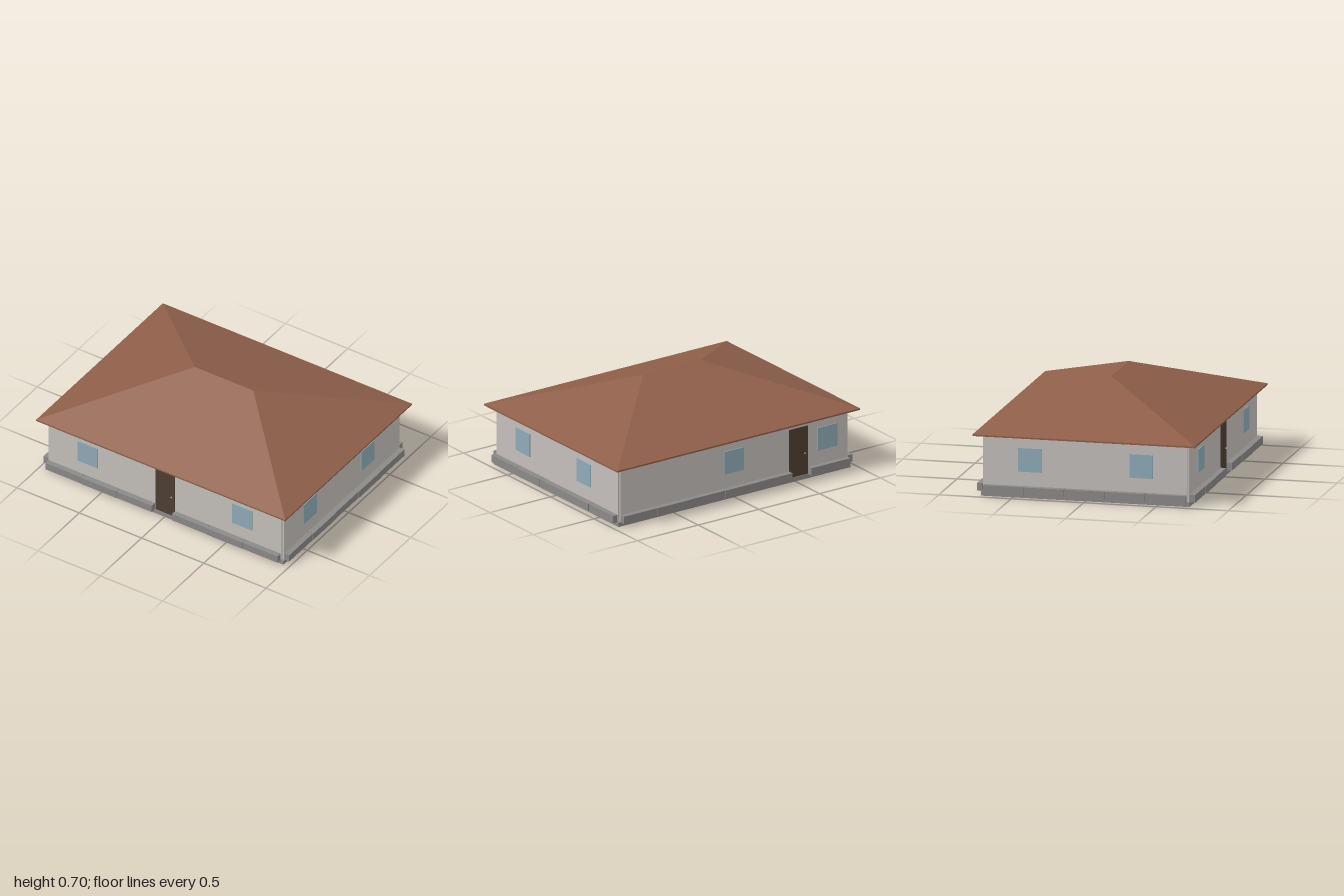
import * as THREE from 'three';

const mat = (name, color, extra = {}) => new THREE.MeshStandardMaterial({ name, color, ...extra });

export function createModel() {
  const house = new THREE.Group();
  house.name = 'house';
  const roofMat = mat('roofBrown', 0x8f5f4a, { flatShading: true });
  const wallMat = mat('wallGrey', 0xc4bfbb);
  const stoneMat = mat('stoneGrey', 0x8b8a88);
  const doorMat = mat('doorBrown', 0x4e3f33);
  const glassMat = mat('glassBlue', 0x8fabb8);
  const knobMat = mat('knobPale', 0xd0ccc4);

  // Box given by its lower and upper limits
  const box = (parent, name, material, [x0, y0, z0], [x1, y1, z1]) => {
    const mesh = new THREE.Mesh(new THREE.BoxGeometry(x1 - x0, y1 - y0, z1 - z0), material);
    mesh.position.set((x0 + x1) / 2, (y0 + y1) / 2, (z0 + z1) / 2);
    mesh.name = name;
    parent.add(mesh);
    return mesh;
  };

  // Floor slab and crossing wall bodies that leave notched corners
  box(house, 'foundation', stoneMat, [-0.955, 0, -0.72], [0.955, 0.03, 0.72]);
  box(house, 'longWalls', wallMat, [-0.935, 0.03, -0.712], [0.935, 0.416, 0.712]);
  box(house, 'endWalls', wallMat, [-0.945, 0.03, -0.7], [0.945, 0.416, 0.7]);

  // Each side is laid out facing +z, then turned into place
  const sides = [
    { name: 'front', turn: 0, dist: 0.712, windows: [-0.62, 0.62], door: 0,
      runs: [[-0.935, -0.08, 3], [0.08, 0.93, 3]] },
    { name: 'back', turn: Math.PI, dist: 0.712, windows: [0, 0.77], door: 0.53,
      runs: [[-0.935, 0.452, 5], [0.608, 0.93, 1]] },
    { name: 'leftEnd', turn: Math.PI / 2, dist: 0.945, windows: [-0.39, 0.31],
      runs: [[-0.7, 0.7, 5]] },
    { name: 'rightEnd', turn: -Math.PI / 2, dist: 0.945, windows: [-0.385, 0.385],
      runs: [[-0.7, 0.7, 5]] },
  ];
  for (const { name, turn, dist, windows, door, runs } of sides) {
    const side = new THREE.Group();
    side.name = name + 'Side';
    side.rotation.y = turn;
    house.add(side);

    for (const x of windows) {
      box(side, 'window', glassMat, [x - 0.08, 0.178, dist - 0.002], [x + 0.08, 0.34, dist + 0.006]);
    }
    if (door !== undefined) {
      box(side, 'door', doorMat, [door - 0.077, 0.03, dist - 0.005], [door + 0.077, 0.376, dist + 0.003]);
      box(side, 'doorKnob', knobMat, [door + 0.048, 0.18, dist], [door + 0.056, 0.188, dist + 0.009]);
    }
    // Row of kerb stones along the foot of the wall
    for (const [from, to, count] of runs) {
      const step = (to - from) / count;
      for (let i = 0; i < count; i++) {
        const a = from + i * step;
        const out = dist + 0.042 + (i % 2) * 0.003;
        box(side, 'kerbStone', stoneMat, [a + 0.001, 0.027, dist + 0.003], [a + step - 0.001, 0.08, out]);
      }
    }
  }

  // Hipped roof: lower eave ring, upper eave ring, ridge
  const ring = (y) => [-1, y, 0.768, 1, y, 0.768, 1, y, -0.768, -1, y, -0.768];
  const roofGeo = new THREE.BufferGeometry();
  roofGeo.setAttribute('position', new THREE.Float32BufferAttribute(
    [...ring(0.416), ...ring(0.427), -0.235, 0.705, 0, 0.235, 0.705, 0], 3));
  const faces = [0, 2, 1, 0, 3, 2]; // soffit
  for (let i = 0; i < 4; i++) {
    const j = (i + 1) % 4;
    faces.push(i, j, 4 + j, i, 4 + j, 4 + i); // eave edge
  }
  faces.push(4, 5, 9, 4, 9, 8, 5, 6, 9, 6, 7, 8, 6, 8, 9, 7, 4, 8); // slopes
  roofGeo.setIndex(faces);
  const flatRoof = roofGeo.toNonIndexed();
  flatRoof.computeVertexNormals();
  const roof = new THREE.Mesh(flatRoof, roofMat);
  roof.name = 'roof';
  house.add(roof);

  return house;
}
